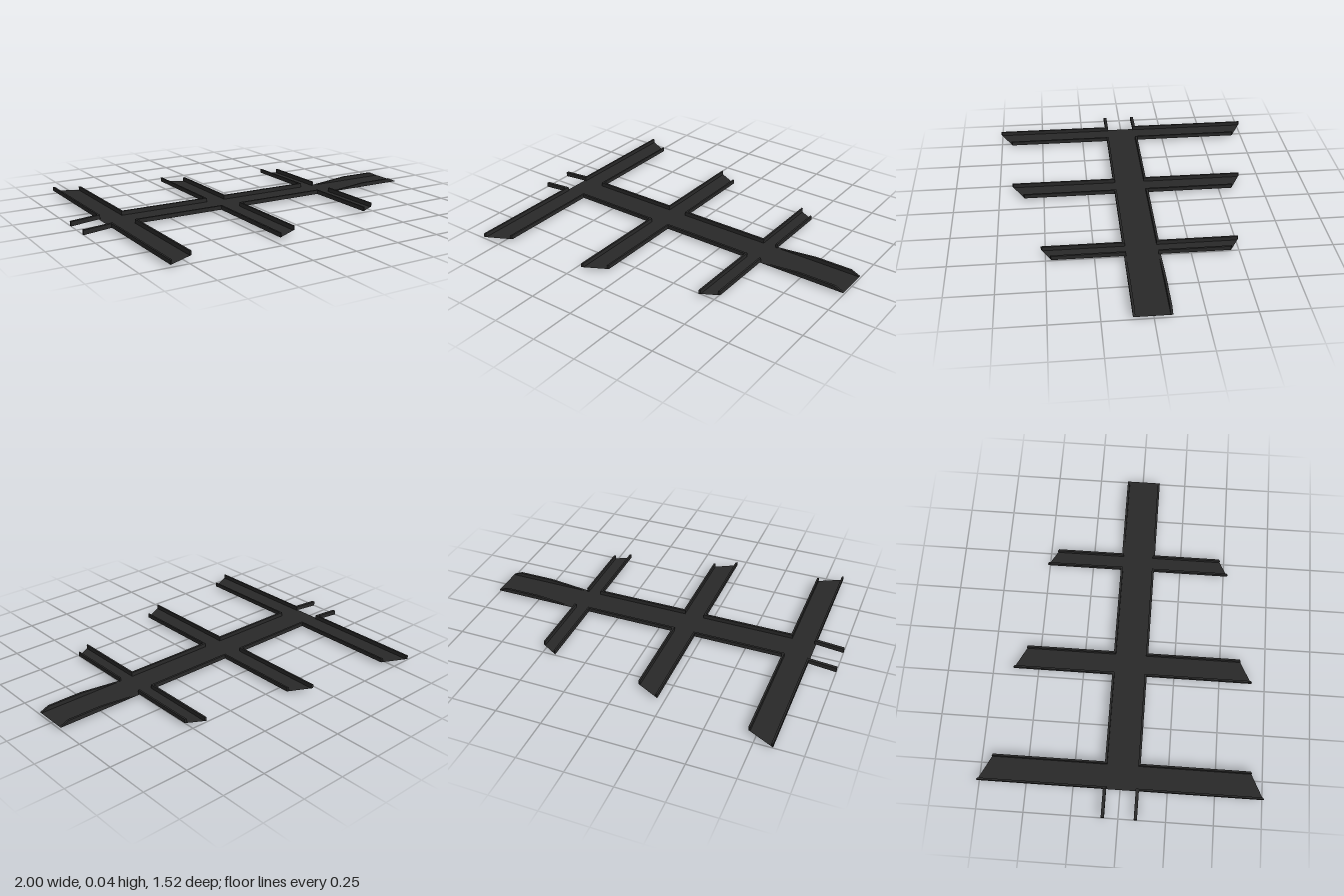
import * as THREE from 'three';

const material = new THREE.MeshStandardMaterial({ color: 0x282828, flatShading: true, side: THREE.DoubleSide });
const FLOOR = 0.015, TOP = 0.037, BACK = -0.09, FRONT = 0.1, RIM = 0.012;

// Cross channels: x range, and z of both slanted ends at the left and right edge
const channels = [
  { x0: -0.85, x1: -0.707, back: [-0.762, -0.69], front: [0.757, 0.685] },
  { x0: -0.215, x1: -0.085, back: [-0.637, -0.57], front: [0.677, 0.607] },
  { x0: 0.42, x1: 0.515, back: [-0.51, -0.455], front: [0.522, 0.47] },
];

const toShape = (points) => new THREE.Shape(points.map(([x, y]) => new THREE.Vector2(x, y)));

function add(group, name, geometry) {
  const mesh = new THREE.Mesh(geometry, material);
  mesh.name = name;
  group.add(mesh);
  return mesh;
}

// Vertical wall: plan outline in (x, z), raised from the floor to the rim height
function planWall(group, name, points) {
  const geometry = new THREE.ExtrudeGeometry(toShape(points.map(([x, z]) => [x, -z])), { depth: TOP - FLOOR, bevelEnabled: false });
  add(group, name, geometry.rotateX(-Math.PI / 2).translate(0, FLOOR, 0));
}

// Wall along x: side outline in (x, y), given a thickness in z
function sideWall(group, name, points, z, thickness) {
  const geometry = new THREE.ExtrudeGeometry(toShape(points), { depth: thickness, bevelEnabled: false });
  add(group, name, geometry.translate(0, 0, z));
}

export function createModel() {
  const group = new THREE.Group();
  group.name = 'branchingTrack';

  // One thin floor covering the spine and all branches
  const outline = [];
  for (const c of channels) outline.push([c.x0, BACK], [c.x0, c.back[0]], [c.x1, c.back[1]], [c.x1, BACK]);
  outline.push([1, BACK], [1, FRONT]);
  for (const c of [...channels].reverse()) outline.push([c.x1, FRONT], [c.x1, c.front[1]], [c.x0, c.front[0]], [c.x0, FRONT]);
  const floor = new THREE.ShapeGeometry(toShape(outline.map(([x, z]) => [x, -z])));
  add(group, 'floor', floor.rotateX(-Math.PI / 2).translate(0, FLOOR, 0));

  // Rims along both edges of each branch, with slanted ends
  const t = 0.01;
  for (const c of channels) {
    for (const [ends, root] of [[c.back, BACK], [c.front, FRONT]]) {
      const endAt = (x) => THREE.MathUtils.mapLinear(x, c.x0, c.x1, ends[0], ends[1]);
      for (const x of [c.x0, c.x1 - t]) {
        const inner = root - Math.sign(root) * RIM;
        planWall(group, 'branchRim', [[x, inner], [x + t, inner], [x + t, endAt(x + t)], [x, endAt(x)]]);
      }
    }
  }

  // Spine rims between branches, the tapered nose rims and the sloping tail rails
  for (const [z, railZ] of [[BACK, BACK], [FRONT - RIM, FRONT - 0.017]]) {
    for (let i = 0; i < 2; i++) {
      const a = channels[i].x1, b = channels[i + 1].x0;
      sideWall(group, 'spineRim', [[a, FLOOR], [b, FLOOR], [b, TOP], [a, TOP]], z, RIM);
    }
    sideWall(group, 'noseRim', [[0.53, FLOOR], [1, FLOOR], [0.95, TOP], [0.75, TOP]], z, RIM);
    sideWall(group, 'tailRail', [[-1, 0], [-0.84, FLOOR], [-0.84, TOP], [-1, 0.025]], railZ, 0.017);
  }
  return group;
}
